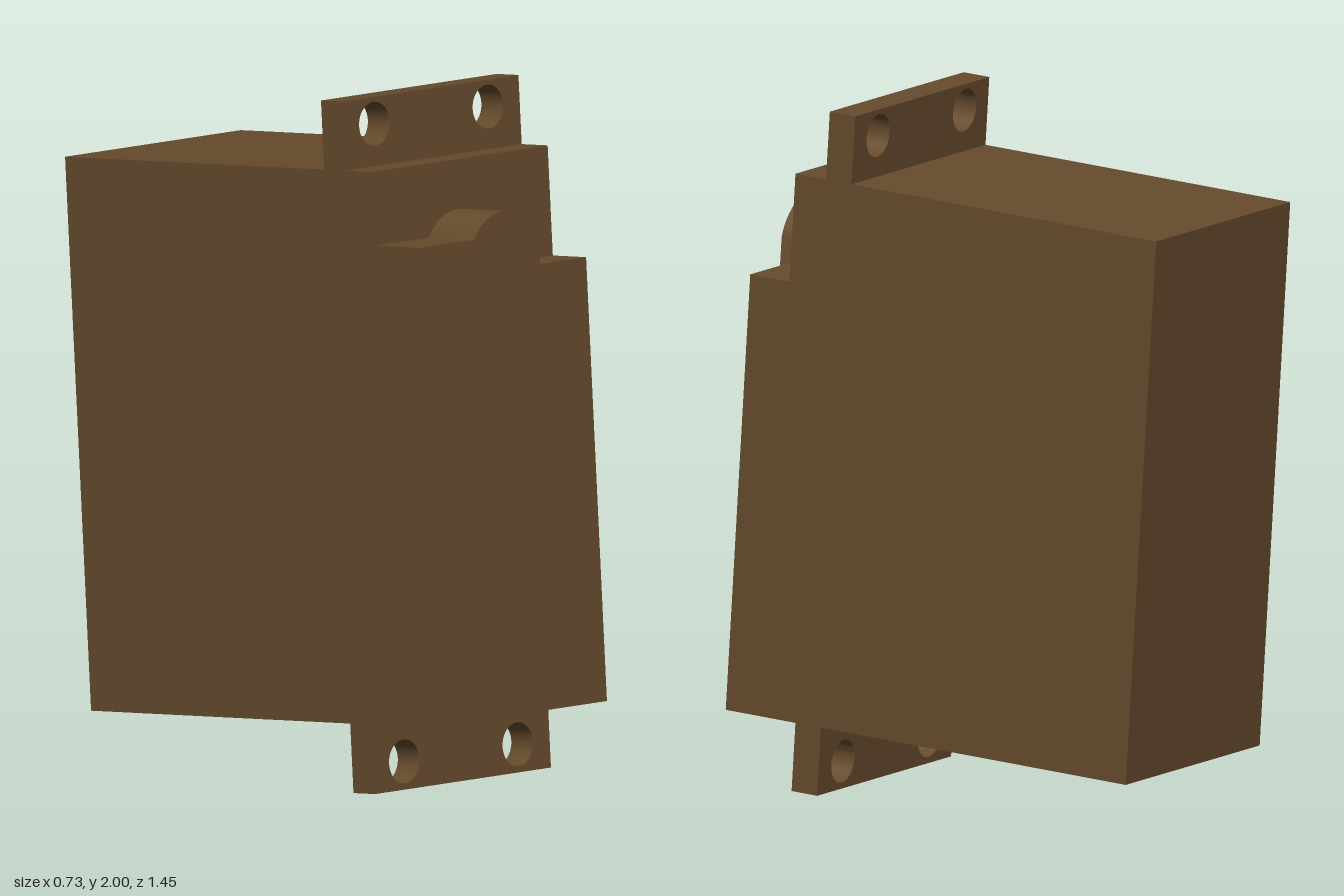
import * as THREE from 'three';
import { toCreasedNormals } from 'three/addons/utils/BufferGeometryUtils.js';

const HALF = 0.364;        // half width of the case
const HEIGHT = 1.595;      // case height along its own axis
const TILT = THREE.MathUtils.degToRad(3.7);

const material = new THREE.MeshStandardMaterial({ color: 0x664b2d });

// Extrude a shape and smooth only its curved walls
function extrude(name, shape, depth) {
  const geometry = new THREE.ExtrudeGeometry(shape, { depth, bevelEnabled: false, curveSegments: 20 });
  const mesh = new THREE.Mesh(toCreasedNormals(geometry, 0.6), material);
  mesh.name = name;
  return mesh;
}

function polygon(points) {
  return new THREE.Shape(points.map(([x, y]) => new THREE.Vector2(x, y)));
}

// Mounting tab with two screw holes
function mountingTab(name, bottom, top, holeY) {
  const shape = polygon([[-HALF, bottom], [HALF, bottom], [HALF, top], [-HALF, top]]);
  for (const side of [-1, 1]) {
    const hole = new THREE.Path();
    hole.absarc(side * 0.235 - 0.003, holeY, 0.063, 0, Math.PI * 2, true);
    shape.holes.push(hole);
  }
  const tab = extrude(name, shape, 0.086);
  tab.position.z = -0.321;
  return tab;
}

export function createModel() {
  const model = new THREE.Group();
  model.name = 'servoMotor';

  // Everything is built upright from the lower front edge, then leaned back
  const servo = new THREE.Group();
  servo.name = 'tiltedServo';
  servo.position.set(0, 0.225, 0.725);
  servo.rotation.x = -TILT;
  model.add(servo);

  // Case: side profile with a step at the upper front
  const body = extrude('case', polygon([
    [-1.349, 0], [0, 0], [0, 1.278], [-0.132, 1.278], [-0.132, HEIGHT], [-1.349, HEIGHT],
  ]), HALF * 2);
  body.rotation.y = -Math.PI / 2;
  body.position.x = HALF;
  servo.add(body);

  // Raised gear cover with a rounded shoulder
  const r = 0.145, cx = -0.018, cy = 1.307, right = 0.123, shoulder = 1.383;
  const cover = new THREE.Shape();
  cover.moveTo(-HALF, 0.743);
  cover.lineTo(right, 0.743);
  const start = Math.acos((right - cx) / r);
  const end = Math.PI - Math.asin((shoulder - cy) / r);
  cover.absarc(cx, cy, r, start, end, false);
  cover.lineTo(-HALF, shoulder);
  cover.closePath();
  const gearCover = extrude('gearCover', cover, 0.18);
  gearCover.position.z = -0.132;
  servo.add(gearCover);

  // Mounting tabs above and below the case
  servo.add(mountingTab('upperMountingTab', HEIGHT, 1.794, 1.717));
  servo.add(mountingTab('lowerMountingTab', -0.2, 0, -0.119));

  return model;
}
